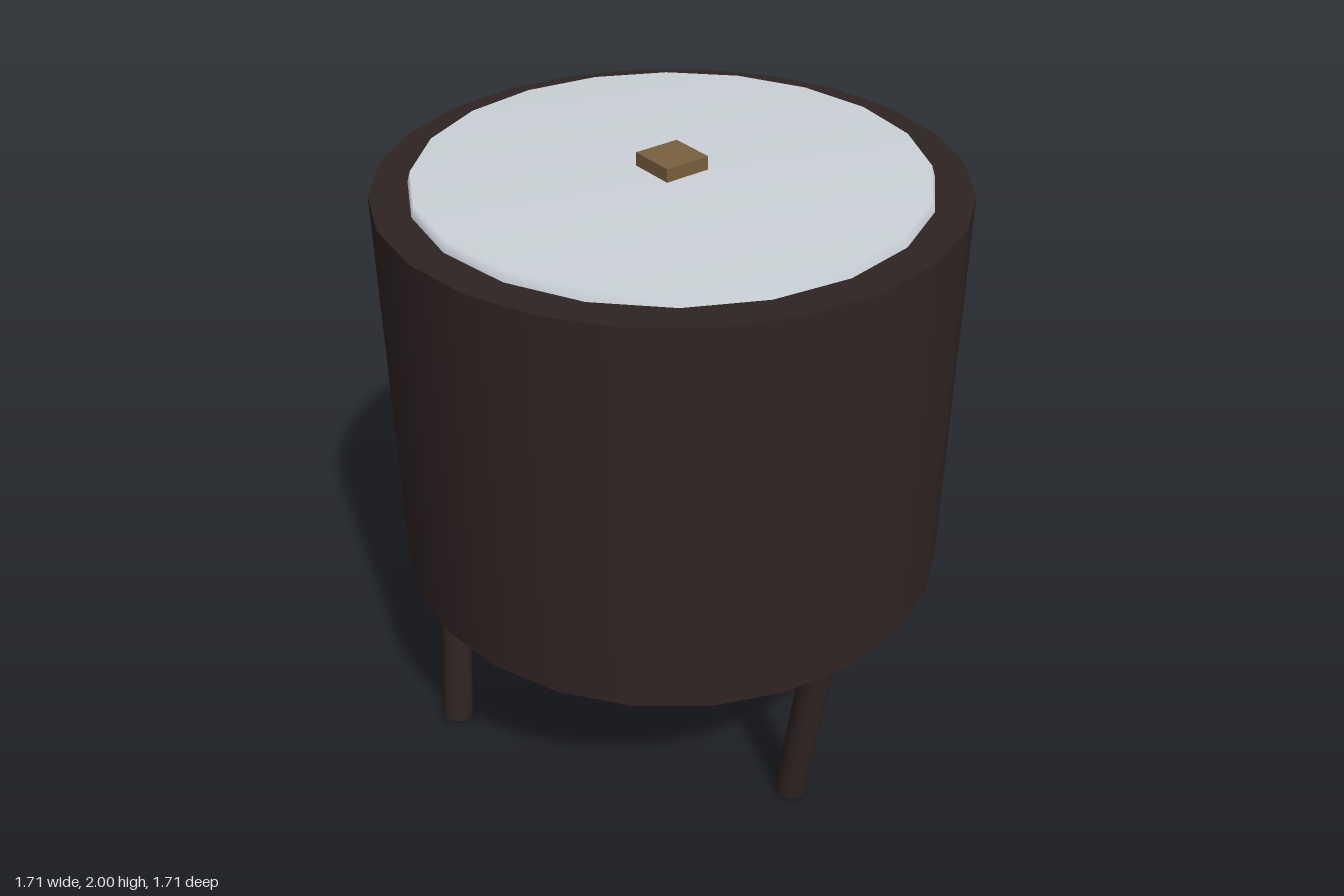
import * as THREE from 'three';

const darkWood = new THREE.MeshStandardMaterial({ color: 0x302424 });
darkWood.name = 'dark wood';
const paleGrey = new THREE.MeshStandardMaterial({ color: 0xccd3d8 });
paleGrey.name = 'pale grey';
const brass = new THREE.MeshStandardMaterial({ color: 0x7a6040 });
brass.name = 'brass';

function addPart(group, name, geometry, material) {
  const mesh = new THREE.Mesh(geometry, material);
  mesh.name = name;
  group.add(mesh);
  return mesh;
}

export function createModel() {
  const model = new THREE.Group();
  model.name = 'drumOnLegs';

  // Drum body
  const bottom = 0.69, top = 1.925;
  addPart(model, 'body', new THREE.CylinderGeometry(0.855, 0.855, top - bottom, 24), darkWood)
    .position.y = (top + bottom) / 2;

  // Thin lid with a slightly tapered, softly shaded rim
  const profile = [[0.75, top], [0.74, 1.957], [0, 1.96]].map(([x, y]) => new THREE.Vector2(x, y));
  addPart(model, 'lid', new THREE.LatheGeometry(profile, 20), paleGrey);

  // Square knob
  addPart(model, 'knob', new THREE.BoxGeometry(0.145, 0.05, 0.145), brass).position.y = 1.975;

  // Three tilted legs: [foot x, foot z, x at body, z at body]
  const legs = {
    leftLeg: [0.632, 0, 0.737, 0],
    frontRightLeg: [-0.32, 0.68, -0.37, 0.597],
    backRightLeg: [-0.32, -0.68, -0.37, -0.597],
  };
  for (const [name, [fx, fz, tx, tz]] of Object.entries(legs)) {
    const foot = new THREE.Vector3(fx, 0.007, fz);
    const end = new THREE.Vector3(tx, bottom, tz).lerp(foot, -0.1);
    const axis = end.clone().sub(foot);
    const leg = addPart(model, name, new THREE.CylinderGeometry(0.05, 0.05, axis.length(), 16), darkWood);
    leg.position.copy(foot).add(end).multiplyScalar(0.5);
    leg.quaternion.setFromUnitVectors(new THREE.Vector3(0, 1, 0), axis.normalize());
  }
  return model;
}
